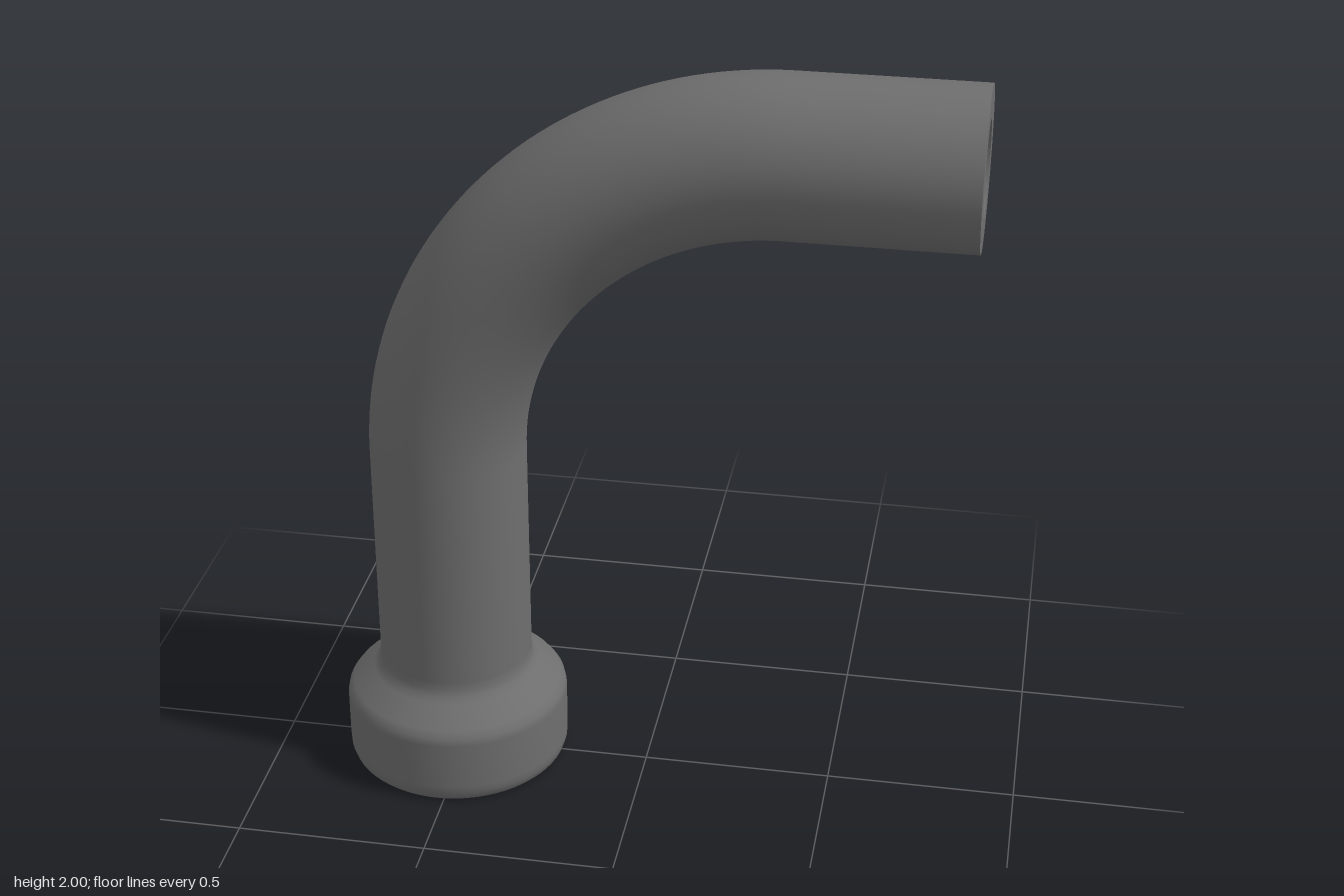
import * as THREE from 'three';

const R = 0.204, BORE = 0.12, BEND = 0.87;      // pipe, bore and bend radii
const X = -0.523, TOP = 1.796, END = 0.82;      // riser axis, spout axis, spout tip
const BEND_X = X + BEND, BEND_Y = TOP - BEND;
const SIDES = 64;

export function createModel() {
  const group = new THREE.Group();
  const grey = new THREE.MeshStandardMaterial({ color: 0x6e6e6e });
  grey.name = 'grey';

  const add = (name, geometry, parent = group) => {
    const mesh = new THREE.Mesh(geometry, grey);
    mesh.name = name;
    parent.add(mesh);
    return mesh;
  };
  // Profiles running upwards face outwards; running downwards, inwards
  const lathe = (points) => new THREE.LatheGeometry(points.map(([r, y]) => new THREE.Vector2(r, y)), SIDES);

  // Upright pipe with its flared collar
  const riser = new THREE.Group();
  riser.name = 'riser';
  riser.position.x = X;
  group.add(riser);
  add('collar', lathe([
    [0.28, 0], [0.29, 0.01], [0.297, 0.03], [0.298, 0.05], [0.298, 0.18], [0.294, 0.2],
    [0.28, 0.219], [0.225, 0.265], [0.211, 0.28], [0.205, 0.297], [R, 0.315],
  ]), riser);
  add('riserPipe', lathe([[R, 0.315], [R, BEND_Y]]), riser);
  add('riserBore', lathe([[BORE, BEND_Y], [BORE, 0]]), riser);
  add('collarBase', lathe([[BORE, 0], [0.28, 0]]), riser);

  // Quarter bend, outside and bore
  const bend = (radius) => new THREE.TorusGeometry(BEND, radius, SIDES, 48, Math.PI / 2)
    .rotateZ(Math.PI / 2).translate(BEND_X, BEND_Y, 0);
  add('bendPipe', bend(R));
  const inner = bend(BORE);
  const index = inner.index.array;
  for (let i = 0; i < index.length; i += 3) [index[i], index[i + 1]] = [index[i + 1], index[i]];
  const normals = inner.attributes.normal.array;
  for (let i = 0; i < normals.length; i++) normals[i] *= -1;
  add('bendBore', inner);

  // Horizontal spout with an open end
  const spout = new THREE.Group();
  spout.name = 'spout';
  spout.position.set(BEND_X, TOP, 0);
  spout.rotation.z = -Math.PI / 2;
  group.add(spout);
  const length = END - BEND_X;
  add('spoutPipe', lathe([[R, 0], [R, length]]), spout);
  add('spoutBore', lathe([[BORE, length], [BORE, 0]]), spout);
  add('spoutRim', lathe([[R, length], [BORE, length]]), spout);

  return group;
}
